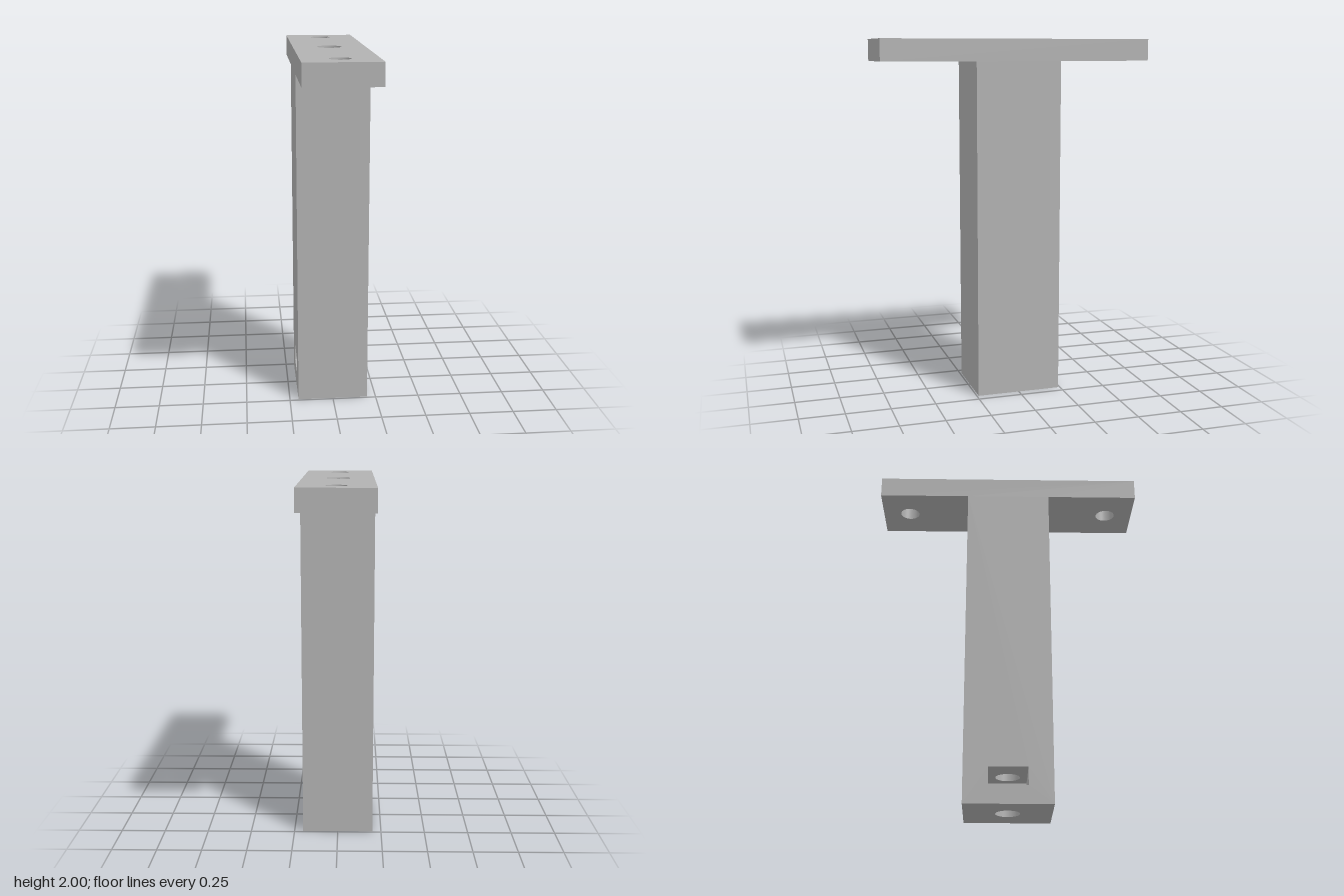
import * as THREE from 'three';

const HALF_W = 0.2, POST = 0.24, ARM = 0.76, TOP = 2, UNDER = 1.88;
const BORE = 0.067, SCREW = 0.056, SCREW_Z = 0.6;
const POCKET = { half: 0.106, y0: 0.1, y1: 0.2, end: 0.11 };
const Q = Math.PI / 2;

function outline(points) {
  return new THREE.Shape(points.map(([x, y]) => new THREE.Vector2(x, y)));
}

function rect(x0, x1, y0, y1) {
  return outline([[x0, y0], [x1, y0], [x1, y1], [x0, y1]]);
}

function addHole(shape, x, y, r) {
  shape.holes.push(new THREE.Path().absarc(x, y, r, 0, Math.PI * 2, true));
  return shape;
}

export function createModel() {
  const grey = new THREE.MeshStandardMaterial({ color: 0xb2b2b2 });
  grey.name = 'grey';
  const model = new THREE.Group();
  model.name = 'tBracket';

  // One flat face: drawn facing +z, turned, then moved into place
  function panel(name, shape, rx, ry, x, y, z) {
    const geometry = new THREE.ShapeGeometry(shape, 32);
    geometry.rotateX(rx).rotateY(ry).translate(x, y, z);
    const mesh = new THREE.Mesh(geometry, grey);
    mesh.name = name;
    model.add(mesh);
  }

  // Inward-facing wall of a round hole
  function holeWall(name, r, y0, y1, z) {
    const profile = [new THREE.Vector2(r, y1), new THREE.Vector2(r, y0)];
    const mesh = new THREE.Mesh(new THREE.LatheGeometry(profile, 64), grey);
    mesh.name = name;
    mesh.position.z = z;
    model.add(mesh);
  }

  // T-shaped sides, the -x one opened for the nut pocket
  const tShape = () => outline([
    [-POST, 0], [POST, 0], [POST, UNDER], [ARM, UNDER],
    [ARM, TOP], [-ARM, TOP], [-ARM, UNDER], [-POST, UNDER],
  ]);
  const { half, y0, y1, end } = POCKET;
  const slotted = tShape();
  slotted.holes.push(rect(-half, half, y0, y1));
  panel('plainSide', tShape(), 0, Q, HALF_W, 0, 0);
  panel('slottedSide', slotted, 0, -Q, -HALF_W, 0, 0);

  // Top plate and post foot
  const top = addHole(rect(-HALF_W, HALF_W, -ARM, ARM), 0, 0, BORE);
  for (const s of [-1, 1]) addHole(top, 0, s * SCREW_Z, SCREW);
  panel('plateTop', top, -Q, 0, 0, TOP, 0);
  panel('postFoot', addHole(rect(-HALF_W, HALF_W, -POST, POST), 0, 0, BORE), Q, 0, 0, 0, 0);

  // Front and back of the post, plate ends, undersides and screw holes
  for (const s of [1, -1]) {
    const turn = s > 0 ? 0 : Math.PI;
    const side = s > 0 ? 'front' : 'back';
    panel(side + 'PostFace', rect(-HALF_W, HALF_W, 0, UNDER), 0, turn, 0, 0, s * POST);
    panel(side + 'PlateEnd', rect(-HALF_W, HALF_W, UNDER, TOP), 0, turn, 0, 0, s * ARM);
    const under = rect(-HALF_W, HALF_W, Math.min(s * POST, s * ARM), Math.max(s * POST, s * ARM));
    panel(side + 'PlateUnderside', addHole(under, 0, s * SCREW_Z, SCREW), Q, 0, 0, UNDER, 0);
    holeWall(side + 'ScrewHole', SCREW, UNDER, TOP, s * SCREW_Z);
  }

  // Long bore, interrupted by the nut pocket
  holeWall('lowerBore', BORE, 0, y0, 0);
  holeWall('upperBore', BORE, y1, TOP, 0);

  // Nut pocket lining
  const pocketPlan = () => addHole(rect(-HALF_W, end, -half, half), 0, 0, BORE);
  panel('pocketFloor', pocketPlan(), -Q, 0, 0, y0, 0);
  panel('pocketCeiling', pocketPlan(), Q, 0, 0, y1, 0);
  panel('pocketFrontWall', rect(-end, HALF_W, y0, y1), 0, Math.PI, 0, 0, half);
  panel('pocketBackWall', rect(-HALF_W, end, y0, y1), 0, 0, 0, 0, -half);
  panel('pocketEndWall', rect(-half, half, y0, y1), 0, -Q, end, 0, 0);

  return model;
}
